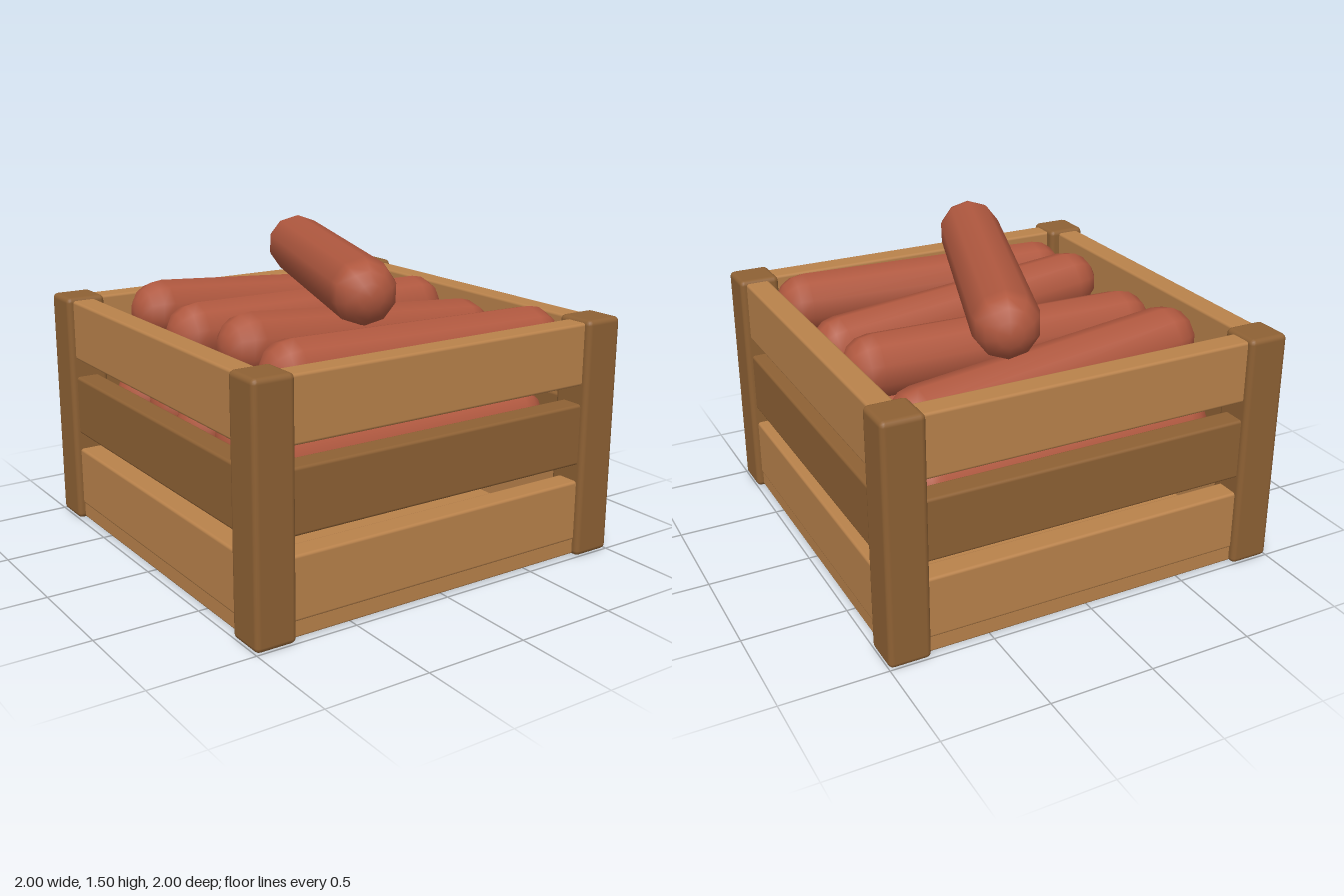
import * as THREE from 'three';
import { RoundedBoxGeometry } from 'three/addons/geometries/RoundedBoxGeometry.js';

export function createModel() {
  const model = new THREE.Group();
  const material = (name, color) => {
    const m = new THREE.MeshStandardMaterial({ color });
    m.name = name;
    return m;
  };
  const lightWood = material('lightWood', 0xb9824b);
  const darkWood = material('darkWood', 0x8e6134);
  const meat = material('sausageRed', 0xb0583f);

  const add = (name, geometry, mat, x = 0, y = 0, z = 0, parent = model) => {
    const mesh = new THREE.Mesh(geometry, mat);
    mesh.name = name;
    mesh.position.set(x, y, z);
    parent.add(mesh);
    return mesh;
  };

  // Floor board
  add('floor', new RoundedBoxGeometry(1.93, 0.095, 1.93, 1, 0.01), lightWood, 0, 0.053, 0);

  // Corner posts
  const postGeometry = new RoundedBoxGeometry(0.2, 1.17, 0.2, 2, 0.025);
  for (const x of [-0.9, 0.9]) {
    for (const z of [-0.9, 0.9]) add('cornerPost', postGeometry, darkWood, x, 0.585, z);
  }

  // Three slats on each of the four sides, the middle one darker
  const slatGeometry = new RoundedBoxGeometry(1.66, 0.3, 0.12, 2, 0.014);
  for (let side = 0; side < 4; side++) {
    const wall = new THREE.Group();
    wall.name = 'crateSide';
    wall.rotation.y = side * Math.PI / 2;
    [0.23, 0.613, 1.005].forEach((y, i) => {
      add('slat', slatGeometry, i === 1 ? darkWood : lightWood, 0, y, 0.91, wall);
    });
    model.add(wall);
  }

  // A sausage is a capsule between the centres of its two round ends
  const sausage = (name, a, b, radius = 0.152) => {
    const start = new THREE.Vector3(...a), end = new THREE.Vector3(...b);
    const axis = end.clone().sub(start);
    const mesh = add(name, new THREE.CapsuleGeometry(radius, axis.length(), 4, 10), meat);
    mesh.position.copy(start).add(end).multiplyScalar(0.5);
    mesh.quaternion.setFromUnitVectors(new THREE.Vector3(0, 1, 0), axis.normalize());
  };

  // Lower layer: z and y at the right end, then at the left end
  const lower = [
    [-0.67, 0.66, -0.70, 0.66], [-0.29, 0.70, -0.39, 0.605], [-0.02, 0.66, 0.02, 0.66],
    [0.36, 0.70, 0.32, 0.605], [0.62, 0.66, 0.67, 0.66],
  ];
  for (const [z0, y0, z1, y1] of lower) sausage('lowerSausage', [-0.65, y0, z0], [0.64, y1, z1]);

  // Upper layer
  const upper = [
    [-0.63, 1.095, -0.71, 0.995], [-0.25, 1.05, -0.21, 1.05],
    [0.25, 1.095, 0.19, 0.995], [0.61, 1.05, 0.69, 1.05],
  ];
  for (const [z0, y0, z1, y1] of upper) sausage('upperSausage', [-0.57, y0, z0], [0.70, y1, z1]);

  // Single sausage lying across the top
  sausage('topSausage', [-0.16, 1.345, 0.545], [0.28, 1.345, -0.68], 0.155);

  return model;
}
